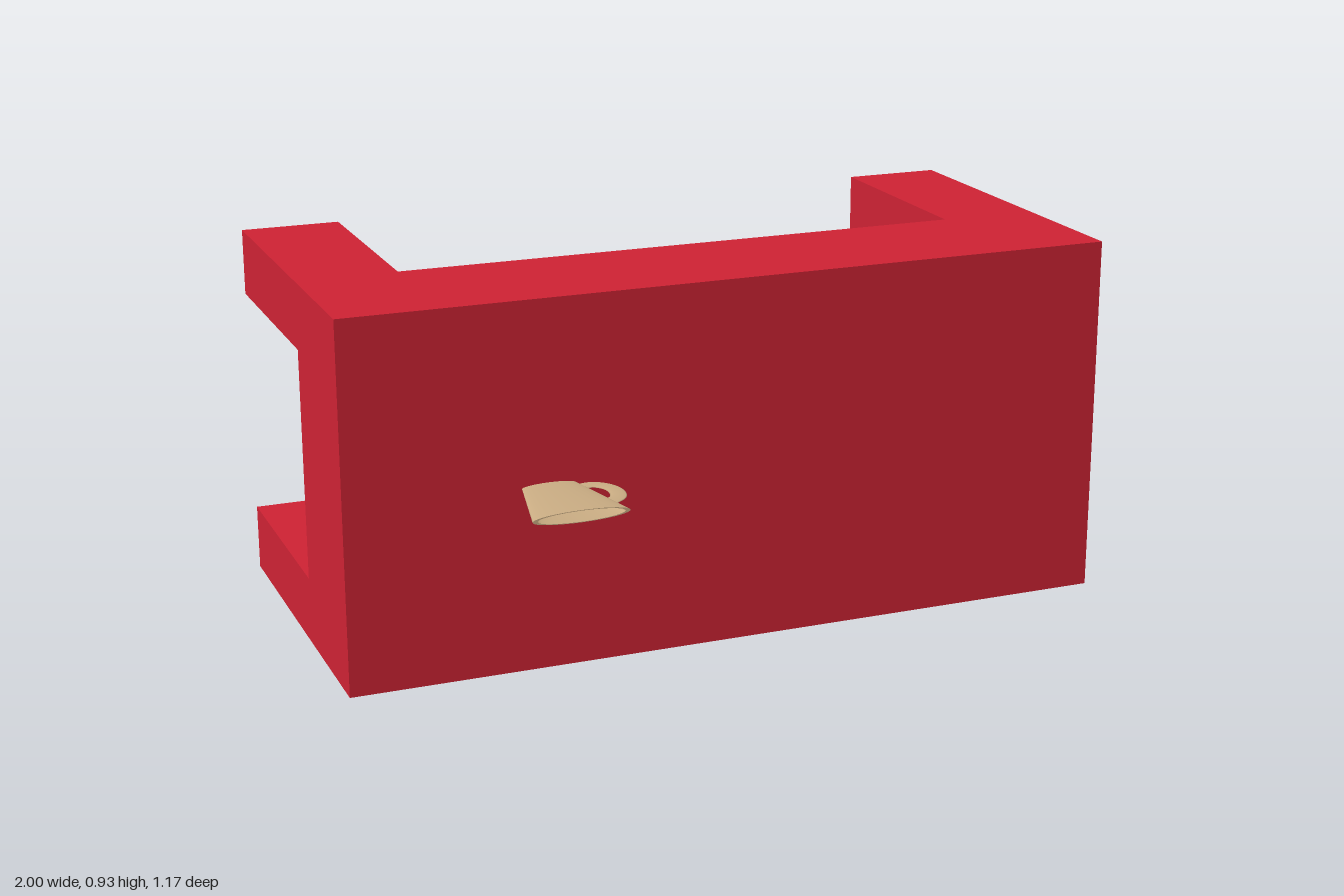
import * as THREE from 'three';
import { toCreasedNormals } from 'three/addons/utils/BufferGeometryUtils.js';

export function createModel() {
  const model = new THREE.Group();
  const red = new THREE.MeshStandardMaterial({ color: 0xcc2233 });
  const tan = new THREE.MeshStandardMaterial({ color: 0xc8ab82 });

  const add = (parent, name, geometry, material) => {
    const mesh = new THREE.Mesh(geometry, material);
    mesh.name = name;
    parent.add(mesh);
    return mesh;
  };

  // Table lying on its side: thick slab facing +z, four legs pointing back
  const H = 0.93, FRONT = 0.355, UNDER = -0.015, BACK = -0.588;
  const table = new THREE.Group();
  table.name = 'table';
  model.add(table);
  add(table, 'tableTop', new THREE.BoxGeometry(2, H, FRONT - UNDER), red)
    .position.set(0, H / 2, (FRONT + UNDER) / 2);

  const legW = 0.255, legH = 0.17;
  for (const sx of [-1, 1]) {
    for (const y of [legH / 2, H - legH / 2]) {
      add(table, 'tableLeg', new THREE.BoxGeometry(legW, legH, UNDER - BACK), red)
        .position.set(sx * (1 - legW / 2), y, (UNDER + BACK) / 2);
    }
  }

  // Tapered mug standing on the table top, strongly flattened in y
  const mug = new THREE.Group();
  mug.name = 'mug';
  mug.position.set(-0.493, 0.467, FRONT);
  mug.scale.y = 0.125;
  model.add(mug);

  const profile = [
    [0, 0], [0.068, 0], [0.12, 0.232], [0.108, 0.232], [0.058, 0.015], [0, 0.015],
  ].map(([r, h]) => new THREE.Vector2(r, h));
  const body = new THREE.LatheGeometry(profile, 40).rotateX(Math.PI / 2);
  add(mug, 'mugBody', toCreasedNormals(body, 0.6), tan);

  // Handle loop on the +x side
  const path = new THREE.CatmullRomCurve3([
    [0.068, 0.035], [0.1, 0.033], [0.128, 0.062], [0.135, 0.1], [0.124, 0.138], [0.095, 0.163],
  ].map(([x, z]) => new THREE.Vector3(x, 0, z)));
  add(mug, 'mugHandle', new THREE.TubeGeometry(path, 32, 0.02, 12), tan);

  return model;
}
